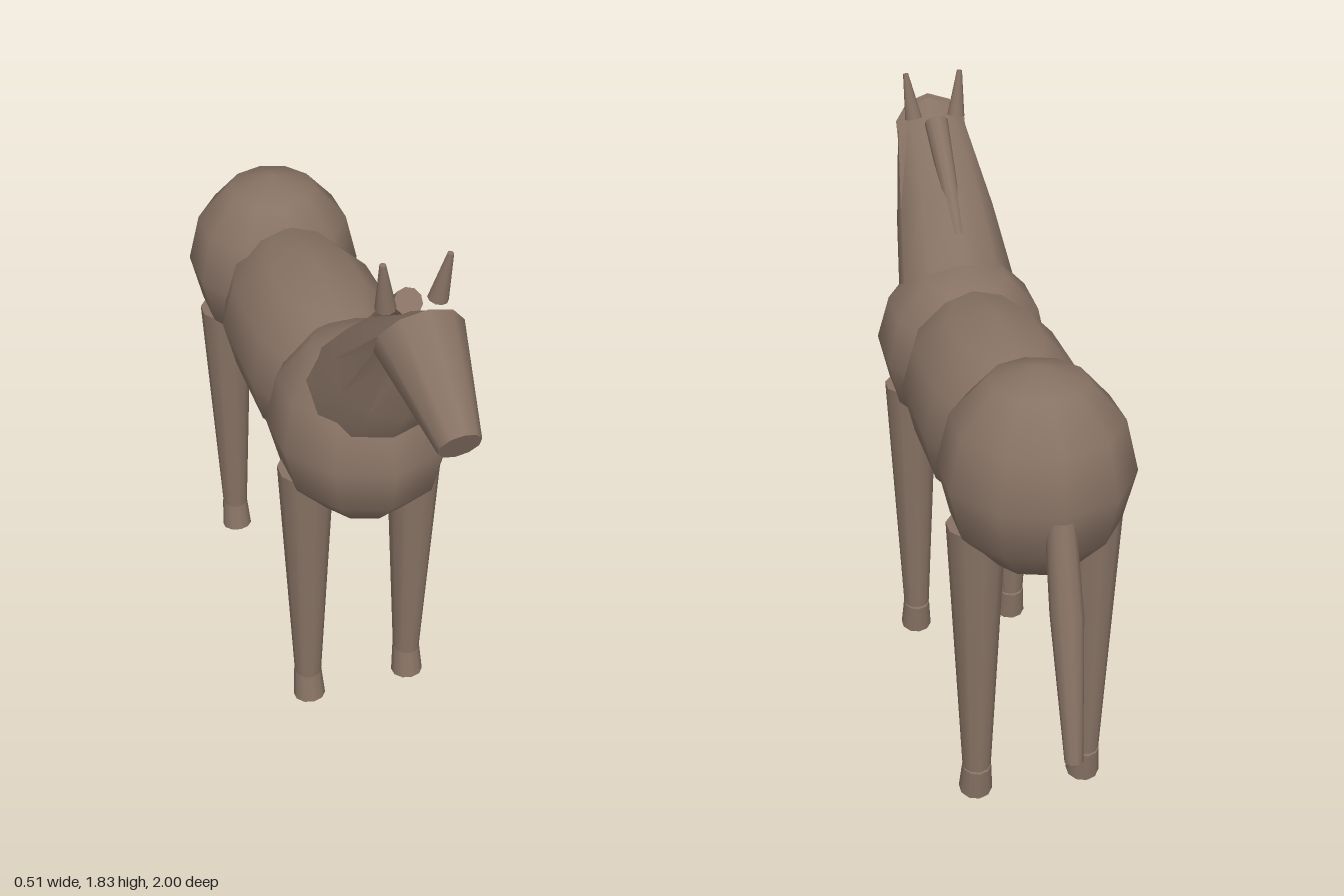
import * as THREE from 'three';
import { toCreasedNormals } from 'three/addons/utils/BufferGeometryUtils.js';

const SIDES = 10;

export function createModel() {
  const horse = new THREE.Group();
  horse.name = 'horse';
  const coat = new THREE.MeshStandardMaterial({ color: 0x877264 });
  coat.name = 'brown coat';

  function add(name, geometry) {
    const mesh = new THREE.Mesh(geometry, coat);
    mesh.name = name;
    horse.add(mesh);
    return mesh;
  }

  // Coarse ellipsoid with vertices on the z axis
  function ellipsoid(name, y, z, rx, ry, rz, tilt = 0) {
    const geo = new THREE.SphereGeometry(1, SIDES, 6);
    geo.rotateY(Math.PI / 2);
    geo.scale(rx, ry, rz);
    const mesh = add(name, geo);
    mesh.position.set(0, y, z);
    mesh.rotation.x = tilt;
  }

  // Tapered cylinder from a lower point to an upper point
  function limb(name, from, to, rFrom, rTo) {
    const a = new THREE.Vector3(...from);
    const b = new THREE.Vector3(...to);
    const axis = b.clone().sub(a);
    const mesh = add(name, new THREE.CylinderGeometry(rTo, rFrom, axis.length(), SIDES));
    mesh.position.copy(a).add(b).multiplyScalar(0.5);
    mesh.quaternion.setFromUnitVectors(new THREE.Vector3(0, 1, 0), axis.normalize());
  }

  // Bent tapered tube; rings run top to bottom: [frontY, frontZ, backY, backZ, halfWidth]
  function bentTube(name, rings) {
    const n = rings.length - 1;
    const geo = new THREE.CylinderGeometry(1, 1, 1, SIDES, n);
    const p = geo.attributes.position;
    for (let i = 0; i < p.count; i++) {
      const [fy, fz, by, bz, rx] = rings[Math.round((0.5 - p.getY(i)) * n)];
      const t = p.getZ(i);
      p.setXYZ(i, p.getX(i) * rx,
        (fy + by) / 2 + t * (fy - by) / 2,
        (fz + bz) / 2 + t * (fz - bz) / 2);
    }
    add(name, toCreasedNormals(geo, 0.9));
  }

  // Body masses
  ellipsoid('barrel', 1.065, -0.13, 0.257, 0.28, 0.54);
  ellipsoid('chest', 1.07, 0.285, 0.265, 0.285, 0.3, -0.1);
  ellipsoid('rump', 1.1, -0.57, 0.27, 0.3, 0.27);

  // Neck, head and mane
  bentTube('neck', [
    [1.525, 0.65, 1.725, 0.73, 0.112],
    [1.32, 0.625, 1.51, 0.405, 0.155],
    [1.13, 0.5, 1.3, 0.19, 0.185],
  ]);
  limb('head', [0, 1.63, 0.695], [0, 1.5, 0.975], 0.117, 0.055);
  limb('mane', [0, 1.41, 0.33], [0, 1.68, 0.62], 0.02, 0.037);

  // Tail
  bentTube('tail', [
    [1.17, -0.72, 1.2, -0.79, 0.038],
    [0.83, -0.828, 0.83, -0.92, 0.045],
    [0.415, -0.95, 0.43, -1.0, 0.025],
  ]);

  // Ears, legs and hooves on both sides
  for (const [side, s] of [['left', 1], ['right', -1]]) {
    limb(side + 'Ear', [s * 0.068, 1.69, 0.641], [s * 0.086, 1.828, 0.663], 0.027, 0.008);
    for (const [end, z] of [['Front', 0.293], ['Back', -0.566]]) {
      const x = s * 0.166;
      limb(side + end + 'Leg', [x, 0.11, z], [x, 0.945, z], 0.042, 0.082);
      limb(side + end + 'Hoof', [x, 0.012, z + 0.014], [x, 0.11, z - 0.002], 0.05, 0.043);
    }
  }

  return horse;
}
